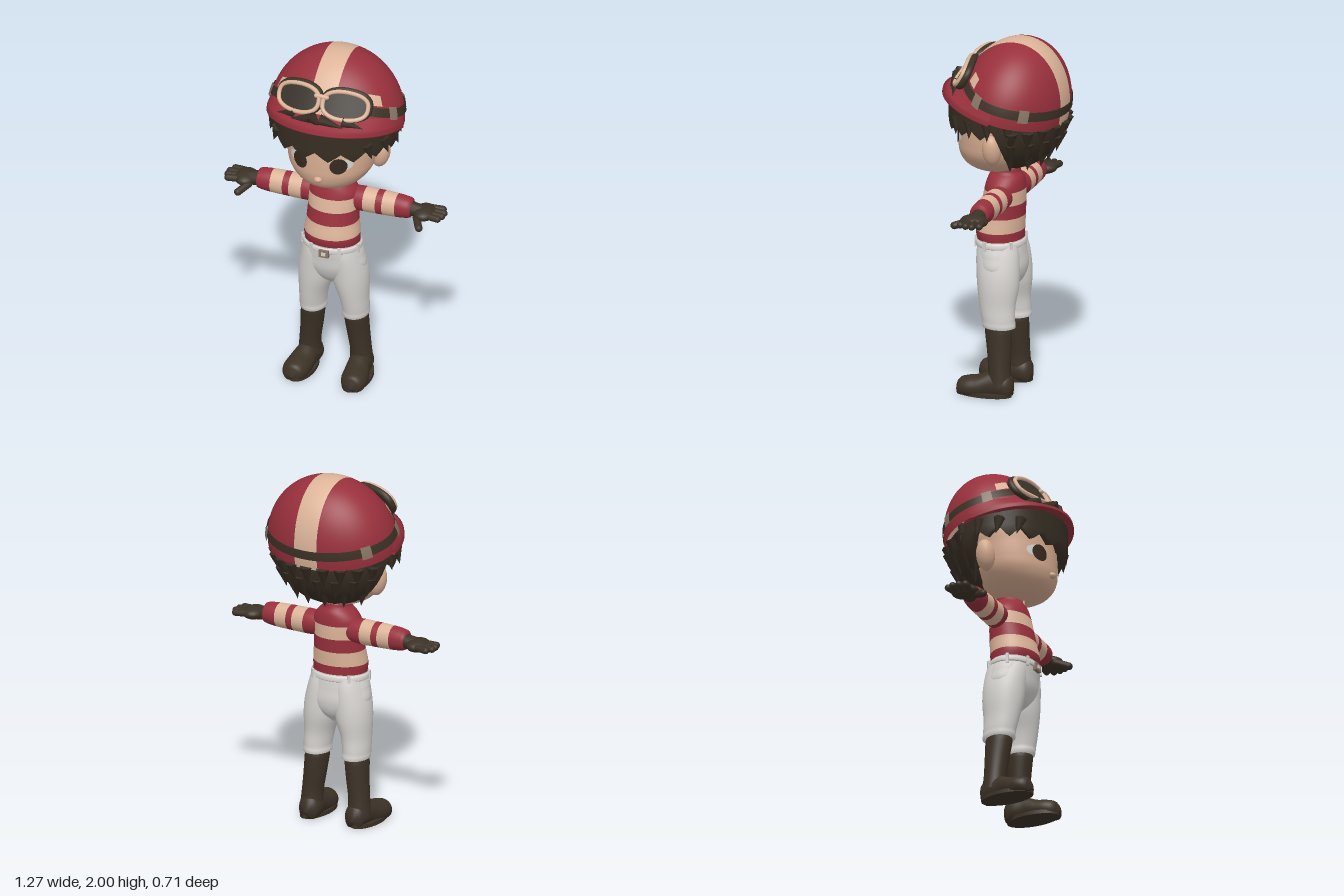
import * as THREE from 'three';
import { ParametricGeometry } from 'three/addons/geometries/ParametricGeometry.js';

const mat = (name, color) => Object.assign(new THREE.MeshStandardMaterial({ color, side: THREE.DoubleSide }), { name });
const M = {
  red: mat('red silk', 0x98303c), tan: mat('cream stripe', 0xdcb499), skin: mat('skin', 0xd6ab90),
  hair: mat('dark hair', 0x372e23), leather: mat('dark leather', 0x3c3226), lens: mat('lens', 0x38322a),
  white: mat('white cloth', 0xd6d3d0), metal: mat('buckle', 0x8a7767), eye: mat('iris', 0x35291f),
};
const { PI, sin, cos, abs, sqrt, max } = Math;

function add(parent, name, geometry, material) {
  const mesh = new THREE.Mesh(geometry, material);
  mesh.name = name;
  parent.add(mesh);
  return mesh;
}
function group(parent, name) {
  const g = new THREE.Group();
  g.name = name;
  parent.add(g);
  return g;
}
// Surface from a function returning [x, y, z]
const surface = (f, nu, nv) => new ParametricGeometry((u, v, p) => p.set(...f(u, v)), nu, nv);

// Smooth interpolation of rows [t, centreA, centreB, radiusA, radiusB]
function sample(rows, t) {
  let i = 0;
  while (i < rows.length - 2 && t > rows[i + 1][0]) i++;
  const b = rows[i], c = rows[i + 1], a = rows[i - 1] || b, d = rows[i + 2] || c;
  const h = c[0] - b[0], k = (t - b[0]) / h, k2 = k * k, k3 = k2 * k;
  return b.map((_, j) => {
    const m0 = (c[j] - a[j]) / (c[0] - a[0]) * h, m1 = (d[j] - b[j]) / (d[0] - b[0]) * h;
    return (2 * k3 - 3 * k2 + 1) * b[j] + (k3 - 2 * k2 + k) * m0 + (3 * k2 - 2 * k3) * c[j] + (k3 - k2) * m1;
  });
}
// Upright loft of elliptical sections between heights t0 and t1
function loft(rows, t0 = rows[0][0], t1 = rows[rows.length - 1][0], nv = 24) {
  return surface((u, v) => {
    const t = t0 + (t1 - t0) * v, a = u * 2 * PI, [, cx, cz, rx, rz] = sample(rows, t);
    return [cx + max(rx, 0) * sin(a), t, cz + max(rz, 0) * cos(a)];
  }, 36, nv);
}
function ball(parent, name, material, p, r) {
  const m = add(parent, name, new THREE.SphereGeometry(1, 24, 16), material);
  m.position.set(...p);
  m.scale.set(...r);
  return m;
}
function capsule(parent, name, material, from, to, r) {
  const a = new THREE.Vector3(...from), b = new THREE.Vector3(...to), d = b.clone().sub(a);
  const m = add(parent, name, new THREE.CapsuleGeometry(r, d.length(), 5, 12), material);
  m.position.copy(a).add(b).multiplyScalar(0.5);
  m.quaternion.setFromUnitVectors(new THREE.Vector3(0, 1, 0), d.normalize());
}
function lock(parent, p, dir, r, len) {
  const m = add(parent, 'hairLock', new THREE.ConeGeometry(r, len, 7), M.hair);
  m.position.set(...p);
  m.quaternion.setFromUnitVectors(new THREE.Vector3(0, 1, 0), new THREE.Vector3(...dir).normalize());
}

const HEAD = [[1.236, 0, .06, .01, .01], [1.242, 0, .06, .07, .07], [1.262, 0, .058, .13, .13], [1.3, 0, .05, .185, .185],
  [1.36, 0, .043, .23, .215], [1.42, 0, .035, .245, .225], [1.5, 0, .03, .25, .225], [1.6, 0, .02, .25, .225], [1.7, 0, 0, .2, .2]];
const TORSO = [[.84, 0, .03, .152, .122], [.9, 0, .035, .156, .13], [.98, 0, .025, .147, .125], [1.06, 0, .015, .142, .118],
  [1.12, 0, .008, .142, .112], [1.17, 0, .003, .135, .105], [1.21, 0, 0, .105, .095], [1.235, 0, 0, .077, .08], [1.26, 0, 0, .072, .074]];
const ARM = [[.06, 0, -.01, .06, .06], [.15, 0, -.01, .07, .066], [.25, 0, -.01, .07, .064], [.36, 0, -.01, .067, .06],
  [.42, 0, -.01, .06, .057], [.445, 0, -.01, .048, .048], [.45, 0, -.01, .02, .02]];

function buildHead(root) {
  const head = group(root, 'head');
  add(head, 'face', loft(HEAD, undefined, undefined, 32), M.skin);
  ball(head, 'nose', M.skin, [0, 1.355, .257], [.024, .018, .022]);
  // Discs laid on the curve of the face
  const disc = (name, cx, cy, rx, ry, lift, m) => add(head, name, surface((u, v) => {
    const x = cx + rx * v * sin(u * 2 * PI), y = cy + ry * v * cos(u * 2 * PI), [, , cz, hx, hz] = sample(HEAD, y);
    return [x, y, cz + hz * sqrt(1 - (x / hx) ** 2) + lift];
  }, 24, 5), m);
  for (const s of [-1, 1]) {
    disc('eyeWhite', s * .124, 1.456, .056, .036, .003, M.white);
    disc('iris', s * .11, 1.45, .045, .048, .006, M.eye);
    ball(head, 'ear', M.skin, [s * .262, 1.425, -.015], [.05, .088, .052]).rotation.z = -s * .2;
  }

  // Hair shell: jagged fringe in front, rounded and long at the nape
  const hair = group(head, 'hair');
  const shape = (a, y, k = 1) => {
    const f = k * sqrt(max(.01, 1 - (max(0, 1.56 - y) / .3) ** 2));
    return [.345 * f * sin(a), y, -.01 + .32 * f * cos(a)];
  };
  add(hair, 'hairShell', surface((u, v) => {
    const a = u * 2 * PI, back = THREE.MathUtils.smoothstep(-cos(a), .1, .5);
    const tooth = abs(((a * 15 / (2 * PI)) % 1) - .5) * 2;
    const low = THREE.MathUtils.lerp(1.5 + .055 * tooth, 1.285 + .02 * tooth, back);
    if (v < .08) return shape(a, low + .02, .8);
    return shape(a, THREE.MathUtils.lerp(low, 1.62 + .23 * cos(a) * .32, (v - .08) / .92));
  }, 120, 12), M.hair);
  for (const [y, n, len] of [[1.49, 9, .13], [1.42, 8, .12], [1.35, 6, .11]])
    for (let i = 0; i < n; i++) {
      const a = PI * (.64 + .72 * i / (n - 1)), [x, , z] = shape(a, y);
      lock(hair, [x * .97, y, z * .97], [sin(a) * .05 - x * .8, -1, cos(a) * .05 - z * .8], .04, len);
    }
  for (const s of [-1, 1])
    for (const a of [.9, 1.25, 1.6, 1.95]) {
      const [x, , z] = shape(s * a, 1.56);
      lock(hair, [x, 1.55, z], [s * .3, -1, -.1], .035, .1);
    }
}

function buildHelmet(root) {
  const helmet = group(root, 'helmet');
  helmet.position.set(0, 1.61, -.04);
  helmet.rotation.x = -.24;
  const RX = .375, RY = .39, RZ = .3, edge = .188;
  // Dome in three slices across x
  for (const [name, t0, t1, m] of [['domeRight', -PI / 2, -edge, M.red], ['domeStripe', -edge, edge, M.tan], ['domeLeft', edge, PI / 2, M.red]])
    add(helmet, name, surface((u, v) => {
      const t = t0 + (t1 - t0) * u;
      return [RX * sin(t), RY * cos(t) * sin(v * PI), RZ * cos(t) * cos(v * PI)];
    }, 20, 40), m);
  const onDome = (a, h, k) => {
    const r = k * sqrt(1 - (h / RY) ** 2);
    return [RX * r * sin(a), h, RZ * r * cos(a)];
  };
  // Brim over the forehead
  add(helmet, 'brim', surface((u, v) => {
    const a = (u - .5) * PI, w = v * 3;
    const out = h => [.382 * sin(a), h, .395 * cos(a)];
    const mix = (p, q, k) => p.map((c, i) => c + (q[i] - c) * k);
    if (w < 1) return mix(onDome(a, -.01, .98), out(-.012), w);
    if (w < 2) return mix(out(-.012), out(.008), w - 1);
    return mix(out(.008), onDome(a, .075, 1), w - 2);
  }, 48, 12), M.red);

  // Goggle strap, buckles and side patches
  const patch = (name, a0, a1, low, tall, k, m) => add(helmet, name, surface((u, v) => {
    const a = a0 + (a1 - a0) * u;
    return onDome(a, low + .06 * max(0, cos(a)) ** 2 + tall * v, k);
  }, Math.ceil((a1 - a0) * 12), 4), m);
  patch('strap', 0, 2 * PI, .062, .05, 1.02, M.leather);
  for (const s of [-1, 1]) {
    for (const a of [1.22, 2.15]) patch('strapBuckle', s * a - .09, s * a + .09, .052, .07, 1.04, M.metal);
    patch('sidePatch', s * .9 - .12, s * .9 + .12, .12, .055, 1.012, M.tan);
  }

  // Goggles curved around the dome front
  const goggles = group(helmet, 'goggles');
  const place = (x, h, lift) => [x, h, .3 + lift - .8 * x * x - .3 * (h - .15)];
  const round = c => Math.sign(c) * abs(c) ** .75;
  for (const s of [-1, 1]) {
    const at = (a, k, lift) => {
      const x = s * .134 + .122 * k * round(cos(a));
      return place(x, .15 + k * round(sin(a)) * (.074 - .05 * abs(abs(x) - .12)) - .1 * x * x, lift);
    };
    const rim = (k, lift) => new THREE.CatmullRomCurve3(
      Array.from({ length: 32 }, (_, i) => new THREE.Vector3(...at(i / 16 * PI, k, lift))), true);
    add(goggles, 'lens', surface((u, v) => at(-u * 2 * PI, v, 0), 32, 5), M.lens);
    add(goggles, 'frame', new THREE.TubeGeometry(rim(1, .003), 64, .012, 8, true), M.tan);
    add(goggles, 'padding', new THREE.TubeGeometry(rim(1, -.022), 64, .02, 8, true), M.leather);
  }
  capsule(goggles, 'bridge', M.tan, place(-.03, .18, .005), place(.03, .18, .005), .013);
  // Dark tufts lying on the brim
  for (const [x, d, len] of [[-.2, -1, .13], [-.1, -1, .16], [0, .3, .09], [.09, 1, .16], [.19, 1, .13]])
    lock(helmet, [x, .045, .345 - 1.6 * x * x], [d, -.25, -.3 * abs(x) * 5], .032, len);
}

function buildBody(root) {
  const body = group(root, 'shirt');
  const bands = [.84, .91, .99, 1.065, 1.14, 1.26];
  for (let i = 0; i < 5; i++) add(body, 'torsoBand', loft(TORSO, bands[i], bands[i + 1], 10), i % 2 ? M.tan : M.red);
  add(body, 'neck', new THREE.CylinderGeometry(.066, .066, .12, 24), M.skin).position.set(0, 1.24, .005);
  add(body, 'collarSlit', new THREE.BoxGeometry(.012, .045, .008), M.tan).position.set(0, 1.222, .088);
  const cuts = [.06, .178, .25, .287, .36, .45];
  for (const s of [-1, 1]) {
    const arm = group(body, s > 0 ? 'leftArm' : 'rightArm');
    const sleeve = group(arm, 'sleeve');
    sleeve.position.y = 1.112;
    sleeve.rotation.z = -s * PI / 2;
    for (let i = 0; i < 5; i++) add(sleeve, 'sleeveBand', loft(ARM, cuts[i], cuts[i + 1], 8), i % 2 ? M.tan : M.red);
    // Glove
    const glove = group(arm, 'glove');
    capsule(glove, 'wrist', M.leather, [s * .44, 1.108, -.012], [s * .49, 1.1, -.01], .04);
    ball(glove, 'palm', M.leather, [s * .515, 1.1, -.012], [.062, .036, .078]);
    [[-.07, .6], [-.034, .618], [.002, .617], [.036, .605]].forEach(([z, x]) =>
      capsule(glove, 'finger', M.leather, [s * .53, 1.103, z * .85 - .005], [s * x, 1.1, z - .003], .019));
    capsule(glove, 'thumb', M.leather, [s * .485, 1.085, .035], [s * .522, 1.065, .1], .021);
  }
}

function buildLegs(root) {
  const pants = group(root, 'breeches');
  add(pants, 'hips', loft([[.58, 0, .005, .02, .05], [.63, 0, .008, .12, .1], [.7, 0, .015, .184, .127],
    [.78, 0, .024, .176, .13], [.835, 0, .03, .161, .13], [.862, 0, .032, .158, .128]]), M.white);
  add(pants, 'waistband', loft([[.822, 0, .03, .16, .129], [.828, 0, .03, .167, .136], [.85, 0, .031, .165, .134], [.857, 0, .031, .158, .127]]), M.white);
  add(pants, 'buckle', new THREE.BoxGeometry(.055, .045, .02), M.metal).position.set(0, .826, .166);
  add(pants, 'buckleCentre', new THREE.BoxGeometry(.024, .02, .008), M.white).position.set(0, .826, .176);
  for (const s of [-1, 1]) {
    for (const a of [.5, 1.3, 2.4]) {
      const loop = add(pants, 'beltLoop', new THREE.BoxGeometry(.016, .055, .012), M.white);
      loop.position.set(s * .167 * sin(a), .838, .03 + .136 * cos(a));
      loop.rotation.y = s * a;
    }
    const mirror = rows => rows.map(([t, cx, ...rest]) => [t, s * cx, ...rest]);
    add(pants, 'trouserLeg', loft(mirror([[.362, .12, -.005, .03, .04], [.37, .12, -.005, .068, .085], [.42, .122, 0, .073, .092],
      [.5, .115, .008, .08, .1], [.6, .1, .01, .098, .115], [.68, .092, .013, .1, .12], [.78, .08, .02, .09, .12], [.85, .07, .025, .08, .11]])), M.white);
    // Boot: shaft plus a foot with a flat sole
    const boot = group(root, s > 0 ? 'leftBoot' : 'rightBoot');
    add(boot, 'shaft', loft(mirror([[.06, .15, -.02, .064, .066], [.15, .146, -.015, .059, .062], [.25, .135, -.01, .062, .067],
      [.36, .125, -.002, .066, .075], [.38, .125, 0, .064, .073]])), M.leather);
    const foot = mirror([[-.092, .145, .045, .005, .005], [-.084, .145, .05, .045, .06], [-.04, .145, .06, .063, .075], [.03, .152, .062, .063, .075],
      [.1, .162, .046, .072, .066], [.165, .168, .04, .07, .06], [.208, .17, .034, .046, .045], [.22, .17, .028, .005, .005]]);
    add(boot, 'foot', surface((u, v) => {
      const z = -.092 + .312 * v, a = u * 2 * PI, [, cx, cy, rx, ry] = sample(foot, z);
      return [cx - rx * sin(a), max(.002, cy + 1.0 * ry * cos(a)), z];
    }, 32, 32), M.leather);
    const sole = new THREE.Shape().absellipse(s * .158, -.065, .075, .153, 0, 2 * PI);
    const m = add(boot, 'sole', new THREE.ExtrudeGeometry(sole, { depth: .022, bevelEnabled: false, curveSegments: 24 }), M.leather);
    m.rotation.x = -PI / 2;
  }
}

export function createModel() {
  const model = new THREE.Group();
  model.name = 'jockeyFigure';
  buildHead(model);
  buildHelmet(model);
  buildBody(model);
  buildLegs(model);
  return model;
}
